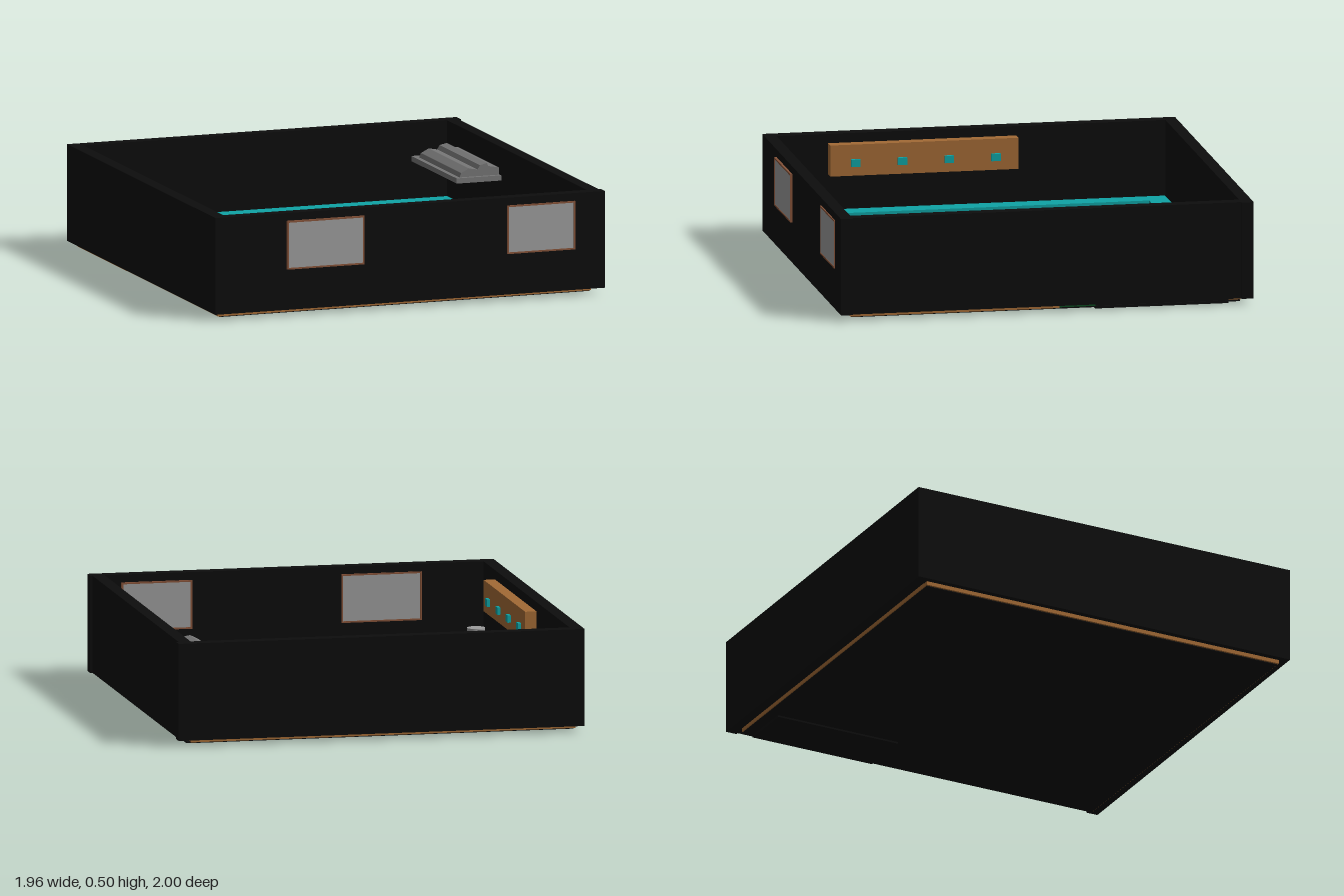
import * as THREE from 'three';

export function createModel() {
  const root = new THREE.Group();
  const mat = (name, color) => {
    const m = new THREE.MeshStandardMaterial({ color });
    m.name = name;
    return m;
  };
  const black = mat('black', 0x0d0d0d);
  const teal = mat('teal', 0x0fa3a5);
  const wood = mat('wood', 0xa26a35);
  const orange = mat('orange', 0xc8640f);
  const green = mat('dark green', 0x0c4a20);
  const steel = mat('steel grey', 0x757575);
  const glass = mat('light grey', 0x9c9c9c);
  const frameBrown = mat('frame brown', 0x855238);

  const add = (name, geo, material, parent = root) => {
    const mesh = new THREE.Mesh(geo, material);
    mesh.name = name;
    parent.add(mesh);
    return mesh;
  };
  // Box given by its minimum and maximum on each axis
  const box = (name, m, x0, x1, y0, y1, z0, z1, parent) => {
    const mesh = add(name, new THREE.BoxGeometry(x1 - x0, y1 - y0, z1 - z0), m, parent);
    mesh.position.set((x0 + x1) / 2, (y0 + y1) / 2, (z0 + z1) / 2);
    return mesh;
  };
  const disc = (name, m, r, h, x, y, z, parent) => {
    const mesh = add(name, new THREE.CylinderGeometry(r, r, h, 32), m, parent);
    mesh.position.set(x, y + h / 2, z);
    return mesh;
  };

  // Floor and walls; the front and back walls sit very slightly askew
  box('floor', black, -0.94, 0.925, 0.008, 0.014, -0.935, 0.935);
  box('leftWall', black, 0.91, 0.968, 0.03, 0.495, -0.97, 0.97);
  box('rightWall', black, -0.98, -0.92, 0.03, 0.495, -0.97, 0.97);
  box('backWall', black, -0.98, 0.98, 0.03, 0.495, -0.995, -0.938).rotation.y = -0.005;
  box('frontWall', black, -0.98, 0.98, 0.03, 0.495, 0.933, 0.99).rotation.y = -0.005;

  // Counters: x0, x1, z0, z1 of the worktop, then of the wooden base
  const counters = [
    ['backCounter', [-0.92, 0.91, -0.94, -0.845], [-0.95, 0.91, -0.94, -0.85]],
    ['rightCounter', [-0.92, -0.825, -0.845, 0.835], [-0.95, -0.83, -0.85, 0.84]],
    ['frontCounter', [-0.92, 0.91, 0.835, 0.935], [-0.95, 0.93, 0.84, 0.94]],
    ['leftCounter', [0.82, 0.91, 0.04, 0.835], [0.825, 0.93, 0.035, 0.84]],
    ['island', [-0.555, 0.91, -0.07, 0.04], [-0.55, 0.93, -0.065, 0.035]],
  ];
  for (const [name, t, b] of counters) {
    const g = new THREE.Group();
    g.name = name;
    root.add(g);
    box(name + 'Top', teal, t[0], t[1], 0.09, 0.13, t[2], t[3], g);
    box(name + 'Base', wood, b[0], b[1], 0.012, 0.09, b[2], b[3], g);
  }

  // Pair of hobs with burners and front knobs
  for (const x of [0.5625, 0.7335]) {
    const g = new THREE.Group();
    g.name = 'hob';
    root.add(g);
    box('hobBody', orange, x - 0.085, x + 0.085, 0.012, 0.16, 0.75, 0.932, g);
    disc('burner', black, 0.077, 0.006, x, 0.16, 0.84, g);
    for (const dx of [-0.035, 0.035]) {
      const knob = disc('hobKnob', black, 0.013, 0.012, x + dx, 0.115, 0.745, g);
      knob.rotation.x = Math.PI / 2;
    }
  }

  // Wall cupboard with teal handles
  box('wallCupboard', wood, -0.92, -0.865, 0.3, 0.45, -0.225, 0.68);
  for (const z of [-0.115, 0.11, 0.335, 0.56]) {
    box('cupboardHandle', teal, -0.865, -0.85, 0.345, 0.38, z - 0.022, z + 0.022);
  }

  // Low black cooker under the hood
  box('cooker', black, 0.66, 0.92, 0, 0.12, -0.88, -0.24);

  // Hood: flat rim with a ridged top running front to back
  box('hoodRim', steel, 0.685, 0.915, 0.335, 0.36, -0.81, -0.205);
  const profile = [[0.705, 0.355], [0.715, 0.38], [0.755, 0.4], [0.797, 0.392],
    [0.81, 0.412], [0.845, 0.42], [0.852, 0.405], [0.905, 0.395], [0.905, 0.355]];
  const shape = new THREE.Shape(profile.map(([x, y]) => new THREE.Vector2(x, y)));
  const hood = add('hoodTop', new THREE.ExtrudeGeometry(shape, { depth: 0.54, bevelEnabled: false }), steel);
  hood.position.z = -0.765;

  // Green bin with a shallow domed lid
  box('bin', green, 0.75, 0.925, 0.012, 0.12, -0.24, -0.06);
  const lid = add('binLid', new THREE.SphereGeometry(0.055, 32, 8, 0, Math.PI * 2, 0, Math.PI / 2), green);
  lid.scale.y = 0.3;
  lid.position.set(0.835, 0.12, -0.15);
  const ring = add('binRing', new THREE.TorusGeometry(0.056, 0.004, 8, 32), green);
  ring.rotation.x = Math.PI / 2;
  ring.position.set(0.835, 0.12, -0.15);

  // Round pot on the front right corner
  disc('pot', glass, 0.043, 0.06, -0.87, 0.13, 0.865);

  // Windows that pass through the front wall, with thin frames
  for (const [x0, x1] of [[-0.622, -0.233], [0.488, 0.83]]) {
    const g = new THREE.Group();
    g.name = 'window';
    root.add(g);
    const y0 = 0.225, y1 = 0.458, f = 0.008, za = 0.926, zb = 0.999;
    box('pane', glass, x0 + f, x1 - f, y0 + f, y1 - f, za + 0.002, zb - 0.002, g);
    box('frameBottom', frameBrown, x0, x1, y0, y0 + f, za, zb, g);
    box('frameTop', frameBrown, x0, x1, y1 - f, y1, za, zb, g);
    box('frameSide', frameBrown, x0, x0 + f, y0 + f, y1 - f, za, zb, g);
    box('frameSide', frameBrown, x1 - f, x1, y0 + f, y1 - f, za, zb, g);
  }
  return root;
}
